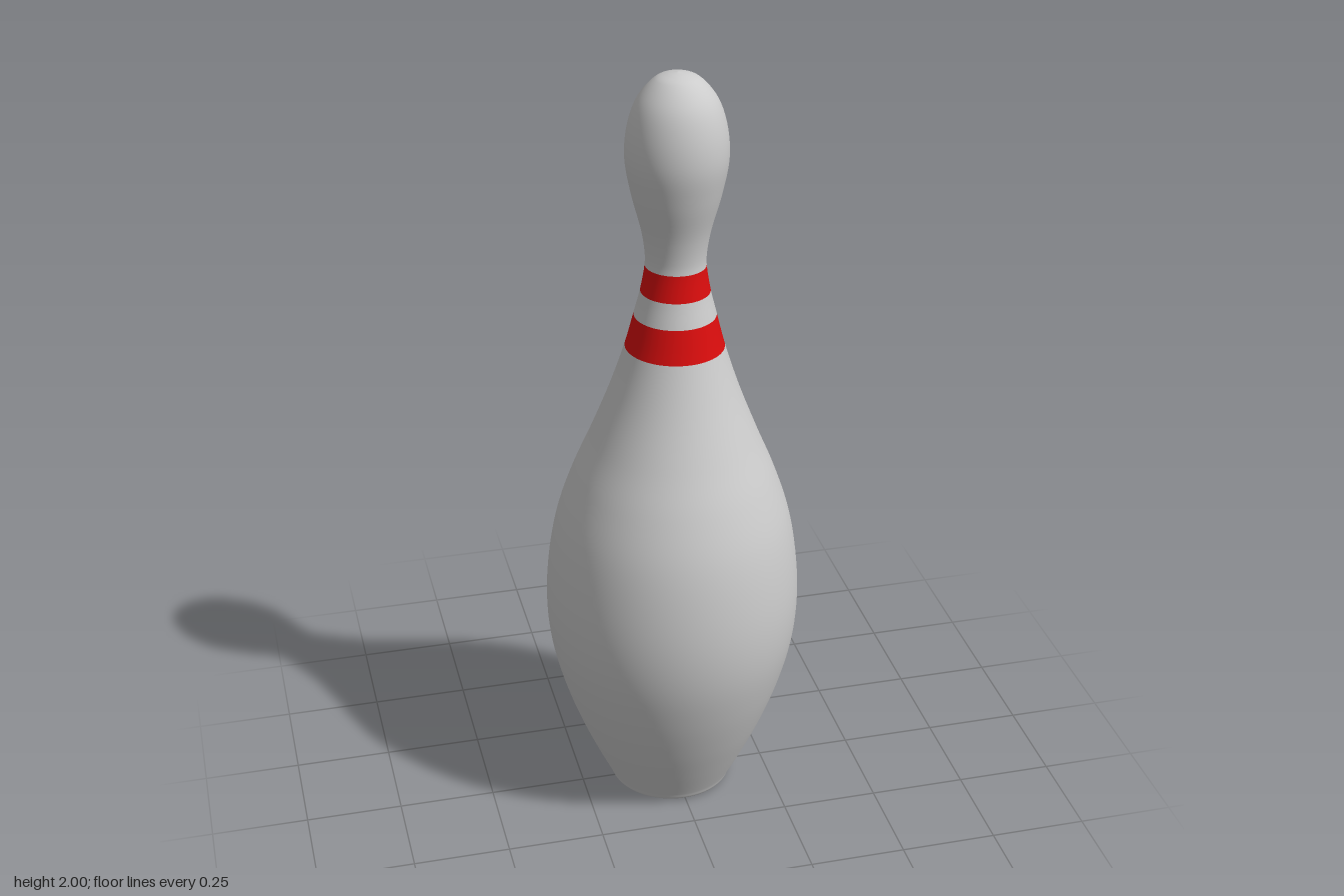
import * as THREE from 'three';

// Silhouette as [radius, height], from the edge of the foot to the crown
const profile = [
  [0.142, 0.002], [0.157, 0.009], [0.166, 0.028], [0.205, 0.11], [0.248, 0.21], [0.29, 0.33],
  [0.319, 0.45], [0.329, 0.56], [0.323, 0.68], [0.301, 0.81], [0.262, 0.93], [0.216, 1.04],
  [0.165, 1.17], [0.125, 1.292], [0.103, 1.377], [0.087, 1.441], [0.076, 1.509],
  [0.076, 1.54], [0.085, 1.6], [0.111, 1.7], [0.126, 1.79], [0.119, 1.87],
  [0.096, 1.935], [0.055, 1.983], [0.028, 1.995], [0, 2],
];
const STEPS = 6;
const SIDES = 96;

export function createModel() {
  const model = new THREE.Group();
  const pin = new THREE.Group();
  pin.name = 'bowlingPin';
  model.add(pin);

  const white = new THREE.MeshStandardMaterial({ color: 0xcccccc });
  const red = new THREE.MeshStandardMaterial({ color: 0xd90d0d });
  const curve = new THREE.CatmullRomCurve3(profile.map(([r, y]) => new THREE.Vector3(r, y, 0)));
  const last = profile.length - 1;

  // Turn the smooth silhouette between two of its points
  function addSection(name, from, to, material) {
    const points = [];
    for (let i = from * STEPS; i <= to * STEPS; i++) {
      const p = curve.getPoint(i / (last * STEPS));
      points.push(new THREE.Vector2(Math.max(p.x, 0), p.y));
    }
    const mesh = new THREE.Mesh(new THREE.LatheGeometry(points, SIDES), material);
    mesh.name = name;
    pin.add(mesh);
  }

  addSection('body', 0, 13, white);
  addSection('lowerStripe', 13, 14, red);
  addSection('stripeGap', 14, 15, white);
  addSection('upperStripe', 15, 16, red);
  addSection('head', 16, last, white);

  // Flat underside
  const base = new THREE.Mesh(new THREE.CircleGeometry(profile[0][0], SIDES), white);
  base.name = 'base';
  base.rotation.x = Math.PI / 2;
  base.position.y = profile[0][1];
  pin.add(base);

  // The pin leans very slightly to its left
  pin.rotation.z = -0.01;
  pin.position.x = -0.006;
  return model;
}
